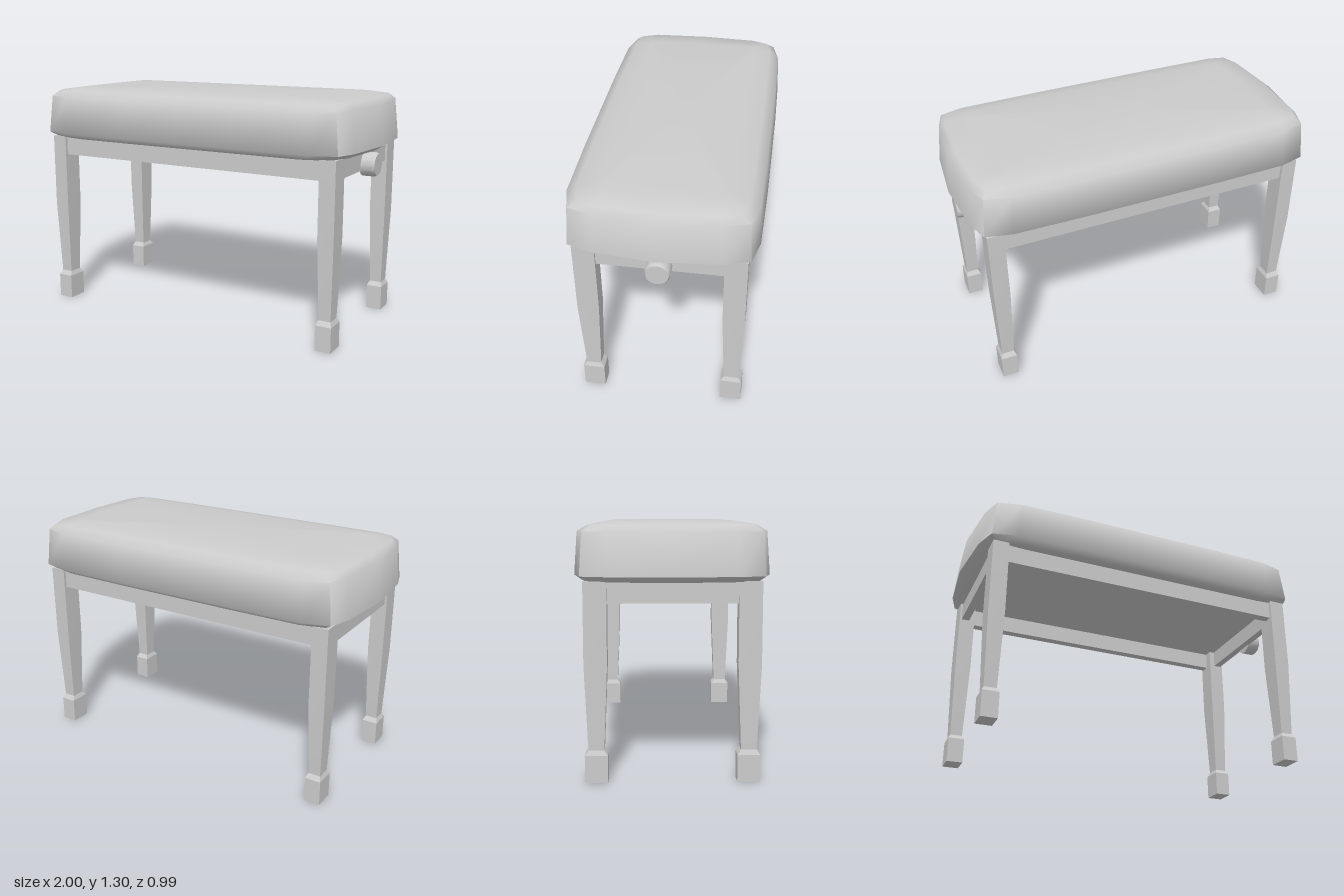
import * as THREE from 'three';
import { toCreasedNormals } from 'three/addons/utils/BufferGeometryUtils.js';

const material = new THREE.MeshStandardMaterial({ color: 0xcccccc });

// Closed solid through a stack of rings, each { y, pts: [[x, z], ...] }, bottom to top
function loft(rings, crease) {
  const n = rings[0].pts.length, pos = [], idx = [];
  rings.forEach(r => r.pts.forEach(([x, z]) => pos.push(x, r.y, z)));
  const top = rings.length - 1, base = rings.length * n;
  const centre = r => r.pts.reduce((s, p) => [s[0] + p[0] / n, s[1] + p[1] / n], [0, 0]);
  for (const r of [rings[0], rings[top]]) {
    const [x, z] = centre(r);
    pos.push(x, r.y, z);
  }
  for (let j = 0; j < n; j++) {
    const k = (j + 1) % n;
    for (let i = 0; i < top; i++) {
      const a = i * n + j, b = i * n + k;
      idx.push(a, a + n, b, b, a + n, b + n);
    }
    idx.push(base, j, k, base + 1, top * n + k, top * n + j);
  }
  const g = new THREE.BufferGeometry();
  g.setAttribute('position', new THREE.Float32BufferAttribute(pos, 3));
  g.setIndex(idx);
  return toCreasedNormals(g, crease);
}

// Mirror a quarter outline (from the x axis to the z axis) into a full loop
function fullOutline(q) {
  const half = [...q, ...q.slice(0, -1).reverse().map(([x, z]) => [-x, z])];
  return [...half, ...half.slice(1, -1).reverse().map(([x, z]) => [x, -z])];
}

function add(parent, name, geometry, x = 0, y = 0, z = 0) {
  const mesh = new THREE.Mesh(geometry, material);
  mesh.name = name;
  mesh.position.set(x, y, z);
  parent.add(mesh);
  return mesh;
}

export function createModel() {
  const group = new THREE.Group();
  group.name = 'bench';

  // Padded seat: bulging plan outline, sides leaning in, softly rounded top
  const outline = [[1, 0], [0.97, 0.33], [0.93, 0.455], [0.79, 0.49], [0.37, 0.497], [0, 0.497]];
  const scaled = (sx, sz) => fullOutline(outline.map(([x, z]) => [x * sx, z * sz]));
  const shoulder = [[0.935, 0], [0.92, 0.31], [0.885, 0.4], [0.79, 0.425], [0.37, 0.43], [0, 0.43]];
  const crown = [[0.8, 0], [0.79, 0.28], [0.78, 0.325], [0.74, 0.33], [0.37, 0.335], [0, 0.335]];
  add(group, 'seatCushion', loft([
    { y: 1.005, pts: scaled(0.9, 0.88) },
    { y: 1.012, pts: scaled(0.955, 0.93) },
    { y: 1.04, pts: scaled(1, 1) },
    { y: 1.255, pts: scaled(0.978, 0.973) },
    { y: 1.287, pts: fullOutline(shoulder) },
    { y: 1.305, pts: fullOutline(crown) },
  ], 1.1));

  // Tapered legs with block feet: [y, half width x, half depth z]
  const legProfile = [
    [0, 0.045, 0.058], [0.14, 0.045, 0.058], [0.165, 0.034, 0.04],
    [0.6, 0.045, 0.058], [1.015, 0.045, 0.058],
  ];
  const legGeometry = loft(legProfile.map(([y, w, d]) =>
    ({ y, pts: [[w, -d], [w, d], [-w, d], [-w, -d]] })), 0.2);
  for (const [sx, side] of [[1, 'Left'], [-1, 'Right']])
    for (const [sz, end] of [[1, 'front'], [-1, 'back']])
      add(group, `${end}${side}Leg`, legGeometry, sx * 0.87, 0, sz * 0.383);

  // Rails joining the legs beneath the seat
  const longRail = new THREE.BoxGeometry(1.68, 0.105, 0.05);
  const shortRail = new THREE.BoxGeometry(0.045, 0.105, 0.68);
  for (const s of [1, -1]) {
    add(group, s > 0 ? 'frontRail' : 'backRail', longRail, 0, 0.9575, s * 0.4);
    add(group, s > 0 ? 'leftRail' : 'rightRail', shortRail, s * 0.88, 0.9575, 0);
  }

  // Height adjustment knob with a slightly bevelled rim
  const knobProfile = [[0, 0], [0.066, 0], [0.066, 0.07], [0.059, 0.082], [0, 0.082]]
    .map(([r, h]) => new THREE.Vector2(r, h));
  const knob = add(group, 'adjustmentKnob',
    toCreasedNormals(new THREE.LatheGeometry(knobProfile, 14), 0.6), 0.896, 0.937, 0);
  knob.rotation.z = -Math.PI / 2;

  return group;
}
